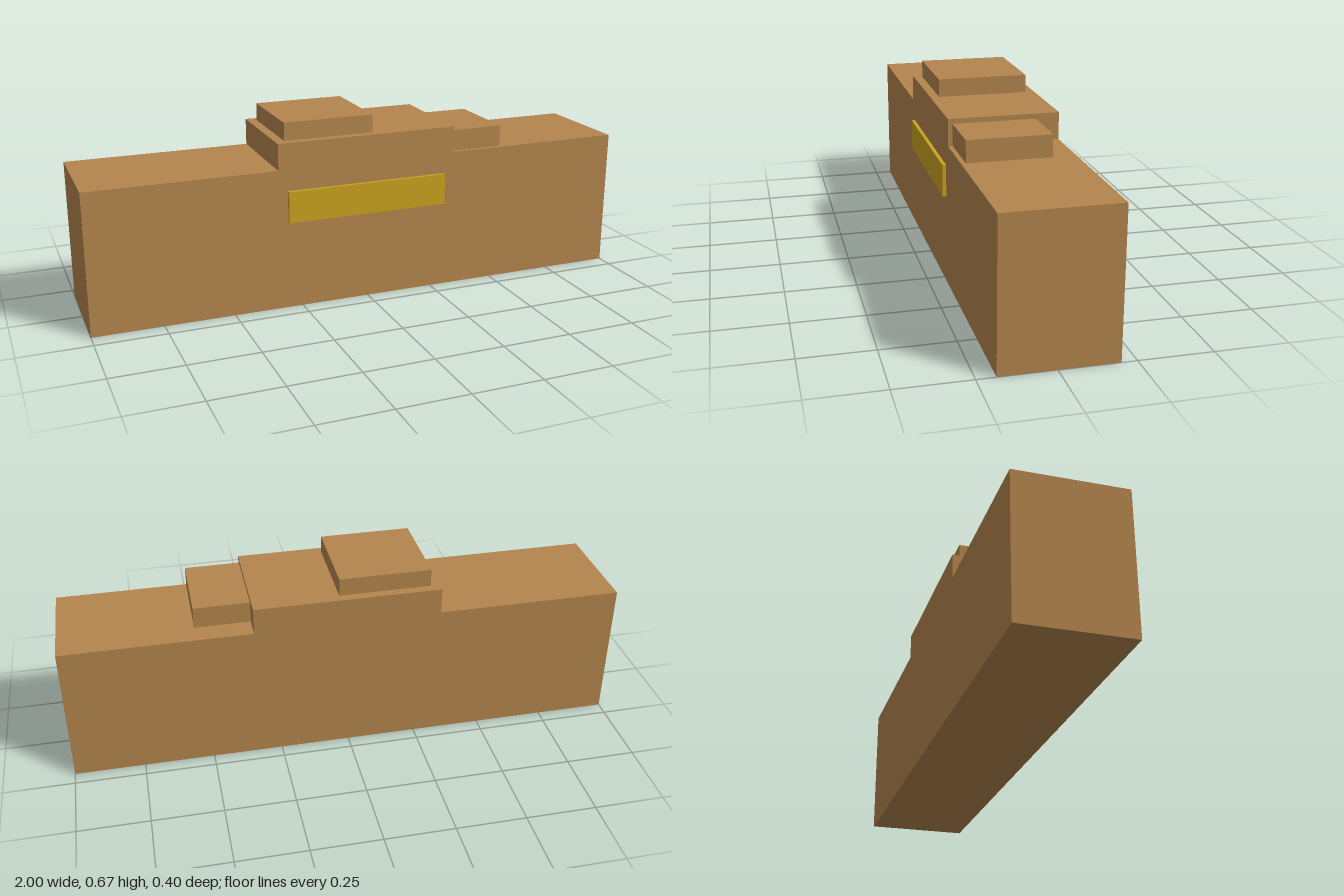
import * as THREE from 'three';

export function createModel() {
  const model = new THREE.Group();
  const wood = new THREE.MeshStandardMaterial({ color: 0xb3854d });
  wood.name = 'wood brown';
  const gold = new THREE.MeshStandardMaterial({ color: 0xc9a21f });
  gold.name = 'gold';

  // Box given by its minimum and maximum corners
  function block(name, material, [x0, y0, z0], [x1, y1, z1]) {
    const mesh = new THREE.Mesh(new THREE.BoxGeometry(x1 - x0, y1 - y0, z1 - z0), material);
    mesh.position.set((x0 + x1) / 2, (y0 + y1) / 2, (z0 + z1) / 2);
    mesh.name = name;
    model.add(mesh);
  }

  // Main body: long block with a raised centre, extruded front to back
  const back = -0.199, front = 0.187;
  const profile = new THREE.Shape([
    [-1, 0], [1, 0], [1, 0.508], [0.333, 0.508],
    [0.333, 0.603], [-0.333, 0.603], [-0.333, 0.508], [-1, 0.508],
  ].map(([x, y]) => new THREE.Vector2(x, y)));
  const body = new THREE.Mesh(
    new THREE.ExtrudeGeometry(profile, { depth: front - back, bevelEnabled: false }), wood);
  body.position.z = back;
  body.name = 'body';
  model.add(body);

  // Blocks resting on the top steps
  block('upperBlock', wood, [-0.3, 0.603, -0.166], [0.028, 0.667, 0.155]);
  block('sideBlock', wood, [0.333, 0.508, -0.118], [0.531, 0.585, 0.171]);

  // Raised plaque on the front
  block('frontPlaque', gold, [-0.3, 0.319, front], [0.296, 0.432, 0.2]);

  return model;
}
